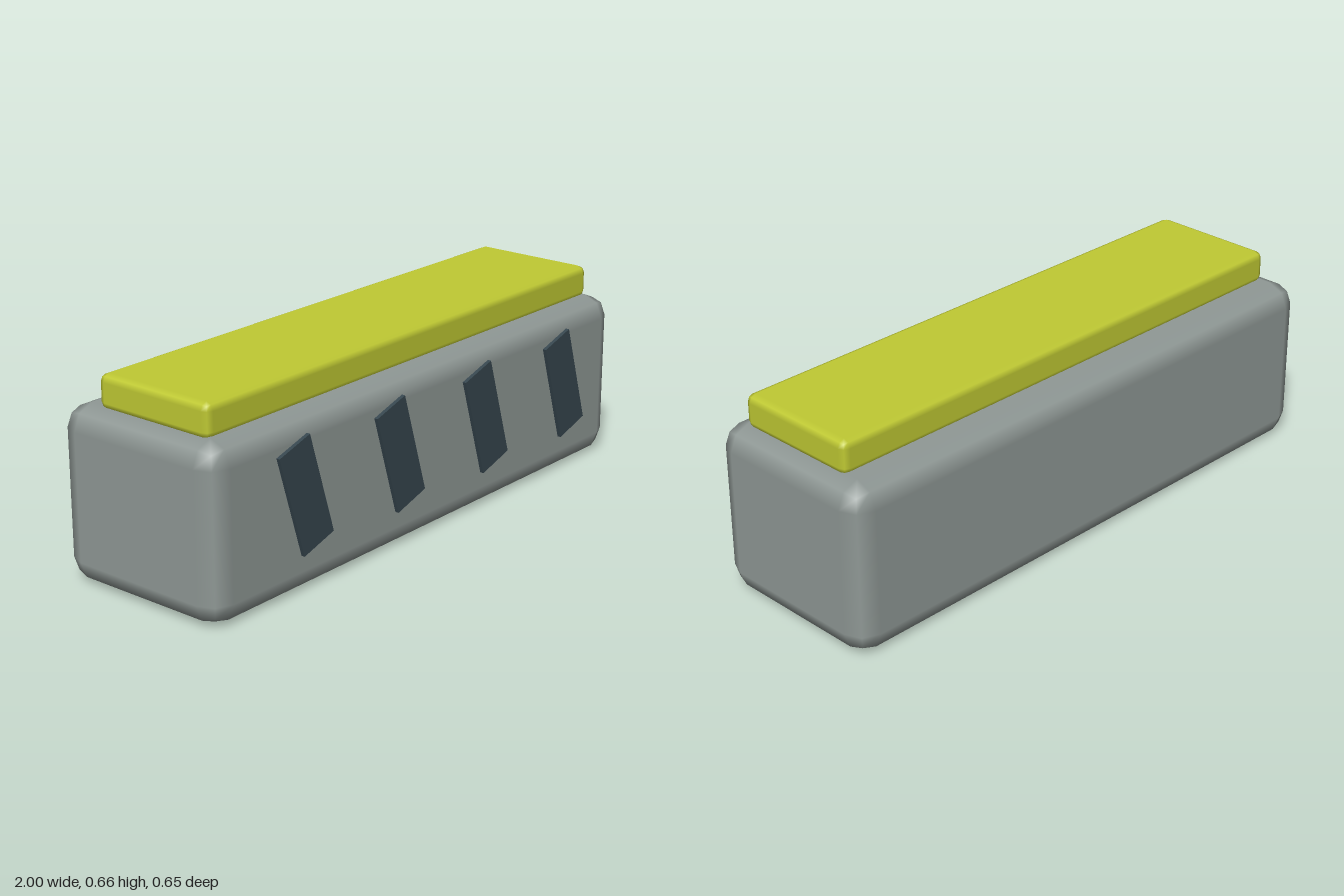
import * as THREE from 'three';
import { RoundedBoxGeometry } from 'three/addons/geometries/RoundedBoxGeometry.js';

export function createModel() {
  const model = new THREE.Group();
  model.name = 'barrier';

  const material = (name, color) => {
    const m = new THREE.MeshStandardMaterial({ color });
    m.name = name;
    return m;
  };
  const grey = material('concrete grey', 0x909996);
  const lime = material('lime yellow', 0xc0ca33);
  const slate = material('dark slate', 0x37474f);

  const add = (name, geometry, mat, x, y, z) => {
    const mesh = new THREE.Mesh(geometry, mat);
    mesh.name = name;
    mesh.position.set(x, y, z);
    model.add(mesh);
    return mesh;
  };

  // Block with softly bevelled edges
  add('body', new RoundedBoxGeometry(2, 0.5625, 0.625, 1, 0.075), grey, 0, 0.2813, -0.0095);

  // Cap strip, sunk slightly into the block
  add('topCap', new RoundedBoxGeometry(1.875, 0.1125, 0.4375, 1, 0.025), lime, 0, 0.6063, 0.0105);

  // Slanted plates standing just off the front
  const plate = new THREE.BoxGeometry(0.1375, 0.35, 0.0125);
  for (let i = 0; i < 4; i++) {
    add(`frontStripe${i + 1}`, plate, slate, -0.6275 + i * 0.4375, 0.3215, 0.3175).rotation.z = 0.3;
  }

  return model;
}
